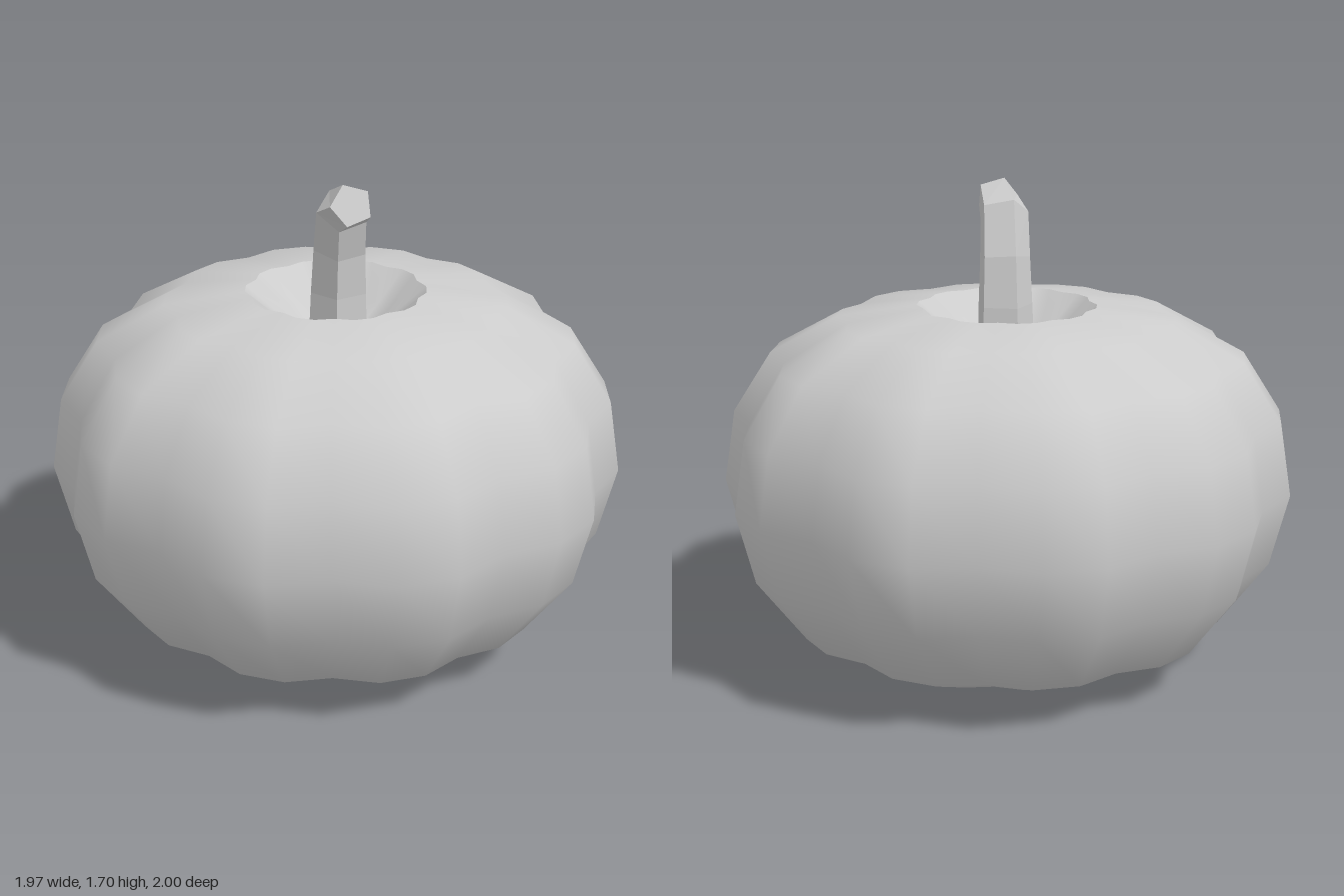
import * as THREE from 'three';
import { mergeVertices } from 'three/addons/utils/BufferGeometryUtils.js';

const SEGMENTS = 30; // three columns for each of the ten ribs
const RIBS = 10;

// Lathe a profile, then pull every third column inward to form the grooves
function ribbedLathe(profile, depth) {
  const points = profile.map(([r, y]) => new THREE.Vector2(r, y));
  let geo = new THREE.LatheGeometry(points, SEGMENTS, Math.PI / SEGMENTS);
  geo.deleteAttribute('uv');
  geo.deleteAttribute('normal');
  const p = geo.attributes.position;
  for (let i = 0; i < p.count; i++) {
    const angle = Math.atan2(p.getZ(i), p.getX(i));
    const k = 1 - depth * (Math.cos(RIBS * angle) + 0.5) / 1.5;
    p.setX(i, p.getX(i) * k);
    p.setZ(i, p.getZ(i) * k);
  }
  geo = mergeVertices(geo, 1e-4);
  geo.computeVertexNormals();
  return geo;
}

// Five-sided stalk that bends over toward the front and one side
function stalkGeometry() {
  const bend = THREE.MathUtils.degToRad(33);
  const forward = new THREE.Vector3(Math.sin(bend), 0, Math.cos(bend));
  const side = new THREE.Vector3(Math.cos(bend), 0, -Math.sin(bend));
  // centre x, y, z, radius, tilt in degrees
  const rings = [
    [0.01, 1.05, 0.005, 0.108, 0],
    [0.015, 1.28, 0.01, 0.1, 0],
    [0.025, 1.44, 0.03, 0.093, 12],
    [0.05, 1.59, 0.08, 0.09, 38],
    [0.11, 1.637, 0.16, 0.074, 65],
  ];
  const sides = 5;
  const positions = [];
  const index = [];
  rings.forEach(([x, y, z, r, tilt], j) => {
    const t = THREE.MathUtils.degToRad(tilt);
    const out = forward.clone().multiplyScalar(Math.cos(t));
    out.y = -Math.sin(t);
    for (let i = 0; i < sides; i++) {
      const a = THREE.MathUtils.degToRad(-18 + 72 * i);
      const v = new THREE.Vector3(x, y, z)
        .addScaledVector(out, r * Math.cos(a))
        .addScaledVector(side, r * Math.sin(a));
      positions.push(v.x, v.y, v.z);
      if (j > 0) {
        const n = (i + 1) % sides;
        const a0 = (j - 1) * sides + i, b0 = (j - 1) * sides + n;
        const a1 = j * sides + i, b1 = j * sides + n;
        index.push(a0, b0, b1, a0, b1, a1);
      }
    }
  });
  // Cut end
  const top = (rings.length - 1) * sides;
  for (let i = 1; i < sides - 1; i++) index.push(top, top + i, top + i + 1);

  const geo = new THREE.BufferGeometry();
  geo.setAttribute('position', new THREE.Float32BufferAttribute(positions, 3));
  geo.setIndex(index);
  const flat = geo.toNonIndexed();
  flat.computeVertexNormals();
  return flat;
}

export function createModel() {
  const group = new THREE.Group();
  const grey = new THREE.MeshStandardMaterial({ color: 0xcccccc });
  grey.name = 'light grey';

  const add = (name, geo) => {
    const mesh = new THREE.Mesh(geo, grey);
    mesh.name = name;
    group.add(mesh);
  };

  // Rounded shell with a hollow underside
  add('body', ribbedLathe([
    [0, 0.11], [0.1, 0.06], [0.2, 0], [0.465, 0.03], [0.765, 0.157],
    [0.94, 0.39], [1.005, 0.645], [0.965, 0.9], [0.832, 1.11],
    [0.595, 1.24], [0.315, 1.28],
  ], 0.06));

  // Hollow around the stalk, with a sharp rim
  add('topHollow', ribbedLathe([
    [0.315, 1.28], [0.2, 1.18], [0.1, 1.1], [0, 1.07],
  ], 0.06));

  add('stalk', stalkGeometry());
  return group;
}
